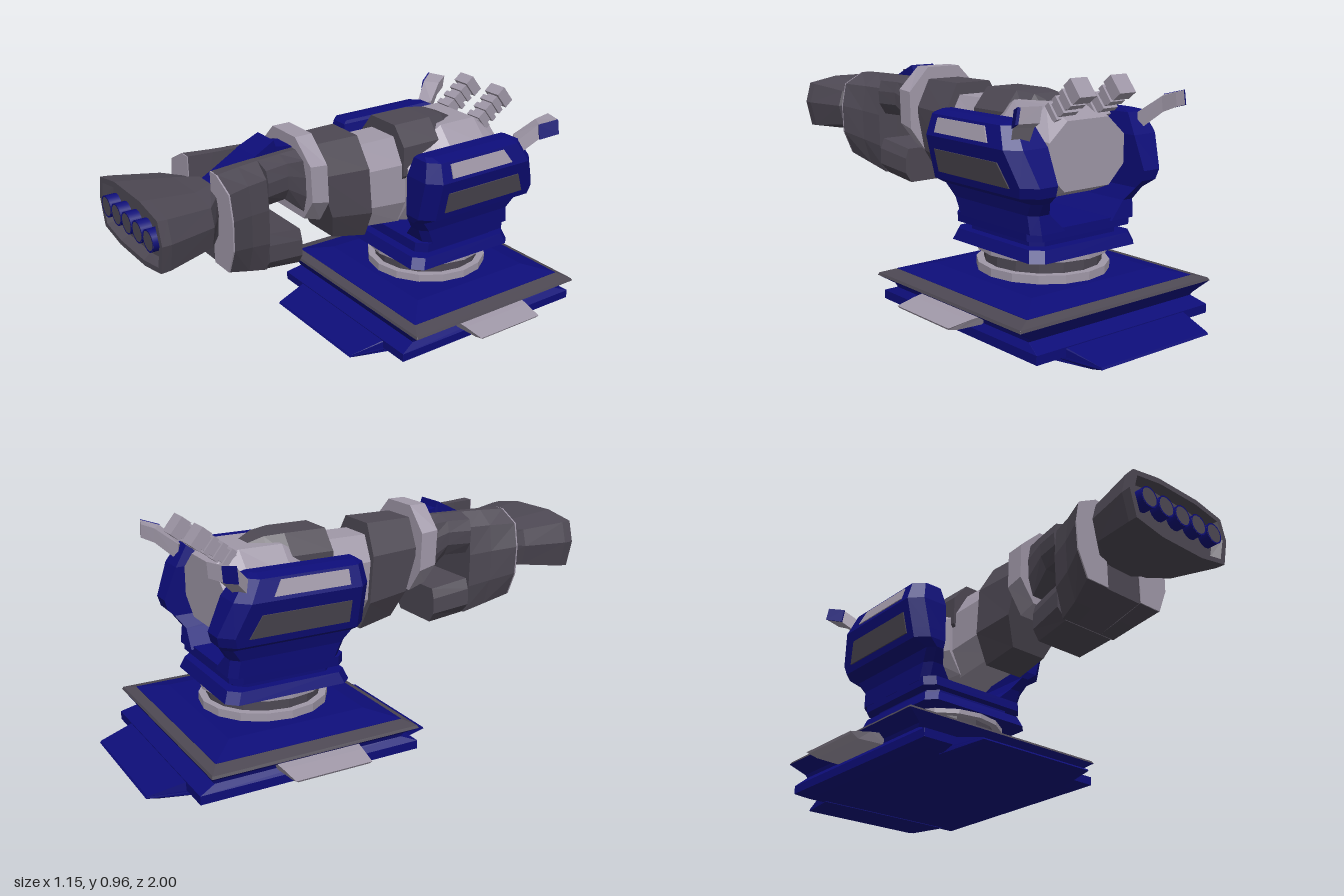
import * as THREE from 'three';

const mat = (name, color) => Object.assign(new THREE.MeshStandardMaterial({ color }), { name });

export function createModel() {
  const model = new THREE.Group();
  model.name = 'turret';
  const blue = mat('navy blue', 0x0d0d78);
  const dark = mat('dark grey', 0x4d4853);
  const light = mat('light grey', 0xa098a8);
  const CZ = -0.39; // centre of the base along z

  // Skin between matching loops of [x, y, z] points, closed with fan caps, flat faces
  function loft(name, material, loops, parent = model) {
    const tris = [];
    const n = loops[0].length;
    for (let i = 0; i < loops.length - 1; i++) {
      for (let j = 0; j < n; j++) {
        const k = (j + 1) % n, A = loops[i], B = loops[i + 1];
        tris.push([A[j], A[k], B[k]], [A[j], B[k], B[j]]);
      }
    }
    const first = loops[0], last = loops[loops.length - 1];
    for (let j = 1; j < n - 1; j++) {
      tris.push([first[0], first[j + 1], first[j]], [last[0], last[j], last[j + 1]]);
    }
    // turn the faces outward
    const v = (p) => new THREE.Vector3(...p);
    const volume = tris.reduce((s, [a, b, c]) => s + v(a).dot(v(b).cross(v(c))), 0);
    if (volume < 0) tris.forEach((t) => t.reverse());
    const geo = new THREE.BufferGeometry();
    geo.setAttribute('position', new THREE.Float32BufferAttribute(tris.flat(2), 3));
    geo.computeVertexNormals();
    const mesh = new THREE.Mesh(geo, material);
    mesh.name = name;
    parent.add(mesh);
    return mesh;
  }
  // The same part on both sides
  function pair(name, material, loops) {
    loft(name + 'Left', material, loops);
    loft(name + 'Right', material, loops.map((l) => l.map(([x, y, z]) => [-x, y, z])));
  }
  // Level rectangle with cut corners
  const rect = (y, hx, hz, c = 0.001) => [
    [hx - c, hz], [hx, hz - c], [hx, c - hz], [hx - c, -hz],
    [c - hx, -hz], [-hx, c - hz], [-hx, hz - c], [c - hx, hz],
  ].map(([x, z]) => [x, y, CZ + z]);
  // Upright octagon across the gun; zb lets the bottom lean
  const oct = (z, w, yt, yb, zb = z, top = 0.55, bottom = 0.6) => {
    const c = (yt - yb) * 0.28;
    return [
      [w * top, yt], [w, yt - c], [w, yb + c], [w * bottom, yb],
      [-w * bottom, yb], [-w, yb + c], [-w, yt - c], [-w * top, yt],
    ].map(([x, y]) => [x, y, zb + (z - zb) * (y - yb) / (yt - yb)]);
  };

  // Base
  loft('base', blue, [rect(0.003, 0.39, 0.42), rect(0.025, 0.44, 0.465), rect(0.06, 0.44, 0.465),
    rect(0.085, 0.42, 0.4), rect(0.1, 0.425, 0.41), rect(0.14, 0.49, 0.437)]);
  loft('baseRim', dark, [rect(0.14, 0.49, 0.437), rect(0.15, 0.485, 0.432), rect(0.164, 0.425, 0.395)]);
  loft('baseTop', blue, [rect(0.16, 0.425, 0.395), rect(0.165, 0.425, 0.395), rect(0.192, 0.31, 0.29)]);
  for (const s of [1, -1]) {
    const flap = (y, x0, z0, x1, z1) => [[x0, z0], [-x0, z0], [-x1, z1], [x1, z1]].map(([x, z]) => [x, y, CZ + s * z]);
    loft(s > 0 ? 'frontFlap' : 'backFlap', blue,
      [flap(0, 0.32, 0.4, 0.27, 0.56), flap(0.014, 0.32, 0.4, 0.275, 0.61),
        flap(0.022, 0.32, 0.4, 0.275, 0.605), flap(0.065, 0.32, 0.4, 0.31, 0.43)]);
  }
  pair('sideFin', light, [
    [[0.41, 0.08, -0.22], [0.41, 0.122, -0.2], [0.41, 0.122, -0.56], [0.41, 0.08, -0.54]],
    [[0.53, 0.08, -0.23], [0.49, 0.113, -0.21], [0.49, 0.113, -0.55], [0.53, 0.08, -0.53]],
    [[0.57, 0.09, -0.23], [0.575, 0.098, -0.22], [0.575, 0.098, -0.54], [0.57, 0.09, -0.53]],
  ]);

  // Turntable
  [[0.19, 0.225, 0.262, light, 'lowerRing'], [0.22, 0.28, 0.232, dark, 'bearing'],
    [0.275, 0.297, 0.262, light, 'upperRing']].forEach(([y0, y1, r, m, name]) => {
    const geo = new THREE.CylinderGeometry(r, r, y1 - y0, 16).toNonIndexed();
    geo.computeVertexNormals();
    const ring = new THREE.Mesh(geo, m);
    ring.name = name;
    ring.position.set(0, (y0 + y1) / 2, CZ);
    model.add(ring);
  });
  loft('pedestal', blue, [rect(0.295, 0.27, 0.268, 0.04), rect(0.34, 0.255, 0.25, 0.04),
    rect(0.341, 0.22, 0.21, 0.04), rect(0.37, 0.22, 0.21, 0.04), rect(0.371, 0.262, 0.245, 0.04),
    rect(0.41, 0.265, 0.243, 0.04)]);

  // Yoke arms: y, inner x, outer x, front z, back z, corner cut
  const arm = [
    [0.4, 0.12, 0.265, -0.18, -0.645, 0.03], [0.47, 0.19, 0.27, -0.15, -0.635, 0.03],
    [0.52, 0.22, 0.285, -0.11, -0.67, 0.03], [0.55, 0.22, 0.345, -0.1, -0.7, 0.05],
    [0.59, 0.22, 0.3544, -0.1, -0.71, 0.05], [0.72, 0.22, 0.385, -0.1, -0.655, 0.05],
    [0.8, 0.24, 0.36, -0.115, -0.6, 0.04], [0.812, 0.25, 0.31, -0.13, -0.57, 0.02],
  ];
  pair('yokeArm', blue, arm.map(([y, xi, xo, zf, zb, c]) => [
    [xi, y, zf], [xo - c, y, zf], [xo, y, zf - c], [xo, y, zb + c], [xo - c, y, zb], [xi, y, zb]]));
  // Inlaid side panels
  const panel = (pts, xAt) => [-0.003, 0.005].map((d) => pts.map(([z, y]) => [xAt(y) + d, y, z]));
  pair('lowerPanel', dark, panel([[-0.19, 0.58], [-0.19, 0.67], [-0.56, 0.67], [-0.605, 0.58]],
    (y) => 0.345 + (y - 0.55) * 0.2353));
  pair('upperPanel', light, panel([[-0.2, 0.735], [-0.2, 0.79], [-0.48, 0.79], [-0.515, 0.735]],
    (y) => 0.385 - (y - 0.72) * 0.3125));

  // Rear housing and breech
  loft('housing', light, [oct(-0.16, 0.15, 0.8, 0.46), oct(-0.28, 0.21, 0.81, 0.45),
    oct(-0.35, 0.215, 0.852, 0.46), oct(-0.53, 0.215, 0.852, 0.5), oct(-0.63, 0.19, 0.8, 0.54)]);
  loft('breech', dark, [oct(-0.14, 0.145, 0.882, 0.6), oct(-0.32, 0.145, 0.882, 0.6),
    oct(-0.4, 0.11, 0.875, 0.62), oct(-0.49, 0.06, 0.84, 0.65)]);
  loft('collar', light, [oct(0.07, 0.135, 0.832, 0.48), oct(-0.17, 0.135, 0.832, 0.45)]);
  loft('barrelSleeve', dark, [oct(0.3, 0.14, 0.88, 0.47, 0.17), oct(0.05, 0.155, 0.88, 0.44, 0.015)]);
  loft('clampRing', light, [oct(0.335, 0.18, 0.93, 0.6, 0.32, 0.45), oct(0.26, 0.18, 0.93, 0.575, 0.245, 0.45)]);

  // Forked barrel shells: z, width, slot half width, top y, bottom y
  const shell = (z, w, s, yt, yb) => {
    const h = yt - yb;
    return [[s, yt], [s + (w - s) * 0.3, yt], [w * 0.92, yt - h * 0.13], [w, yt - h * 0.4],
      [w * 0.98, yb + h * 0.28], [w * 0.8, yb], [s, yb]].map(([x, y]) => [x, y, z]);
  };
  pair('forkShell', dark, [shell(0.7, 0.245, 0.09, 0.88, 0.515), shell(0.6, 0.2, 0.075, 0.88, 0.475),
    shell(0.51, 0.172, 0.065, 0.88, 0.445)]);
  pair('forkFace', light, [shell(0.698, 0.245, 0.09, 0.88, 0.515), shell(0.704, 0.245, 0.09, 0.88, 0.515)]);
  pair('upperProng', dark, [shell(0.51, 0.172, 0.065, 0.88, 0.71), shell(0.41, 0.152, 0.055, 0.88, 0.71),
    shell(0.32, 0.14, 0.05, 0.88, 0.63)]);
  loft('lowerJaw', dark, [oct(0.512, 0.165, 0.6, 0.443, 0.512, 0.9, 0.75), oct(0.35, 0.14, 0.57, 0.42, 0.35, 0.9, 0.8)]);
  const block = (z, x, yt, yb) => [[x, yt, z], [x, yb, z], [-x, yb, z], [-x, yt, z]];
  loft('forkCore', dark, [block(0.695, 0.1, 0.74, 0.515), block(0.51, 0.08, 0.8, 0.445)]);
  loft('upperCore', dark, [block(0.52, 0.08, 0.8, 0.71), block(0.41, 0.08, 0.82, 0.71), block(0.3, 0.08, 0.82, 0.63)]);
  loft('topSpine', blue, [block(0.69, 0.09, 0.76, 0.7), block(0.5, 0.066, 0.885, 0.72),
    block(0.415, 0.058, 0.927, 0.74), block(0.405, 0.056, 0.9, 0.74), block(0.33, 0.05, 0.885, 0.74)]);

  // Muzzle with a recessed mouth
  const mouth = (z, w, yt, yb) => {
    const h = yt - yb;
    return [[w * 0.4, yt], [w * 0.91, yt - h * 0.1], [w, yt - h * 0.45], [w * 0.9, yb + h * 0.1], [w * 0.4, yb],
      [-w * 0.4, yb], [-w * 0.9, yb + h * 0.1], [-w, yt - h * 0.45], [-w * 0.91, yt - h * 0.1], [-w * 0.4, yt],
    ].map(([x, y]) => [x, y, z]);
  };
  loft('muzzle', dark, [mouth(0.68, 0.11, 0.81, 0.62), mouth(0.765, 0.225, 0.812, 0.618), mouth(0.95, 0.268, 0.836, 0.592),
    mouth(0.988, 0.27, 0.84, 0.59), mouth(0.988, 0.247, 0.818, 0.61), mouth(0.955, 0.225, 0.8, 0.628)]);
  for (let i = -2; i <= 2; i++) {
    const emitter = new THREE.Group();
    emitter.name = 'emitter' + (i + 3);
    emitter.position.set(i * 0.09, 0.72, 0.97);
    const tube = new THREE.Mesh(new THREE.CylinderGeometry(0.042, 0.042, 0.058, 14), [blue, dark, dark]);
    tube.name = 'emitterTube';
    tube.rotation.x = Math.PI / 2;
    const lip = new THREE.Mesh(new THREE.RingGeometry(0.037, 0.043, 14), blue);
    lip.name = 'emitterLip';
    lip.position.z = 0.03;
    emitter.add(tube, lip);
    model.add(emitter);
  }

  // Ribbed exhaust pipes
  for (const s of [1, -1]) {
    const pipe = new THREE.Group();
    pipe.name = s > 0 ? 'exhaustLeft' : 'exhaustRight';
    pipe.position.set(s * 0.1, 0.79, -0.53);
    pipe.rotation.x = -0.9;
    const box = (name, w, h, y) => {
      const m = new THREE.Mesh(new THREE.BoxGeometry(w, h, w), light);
      m.name = name;
      m.position.y = y;
      pipe.add(m);
    };
    box('pipeCore', 0.055, 0.22, 0.1);
    for (let i = 0; i < 3; i++) box('pipeRib', 0.075, 0.024, 0.06 + i * 0.045);
    box('pipeEnd', 0.082, 0.045, 0.2);
    model.add(pipe);
  }

  // Swept horns with blue outer tips
  pair('horn', light, [
    [[0.27, 0.8, -0.62], [0.325, 0.79, -0.585], [0.335, 0.73, -0.585], [0.28, 0.73, -0.62]],
    [[0.315, 0.865, -0.7], [0.375, 0.865, -0.66], [0.385, 0.805, -0.66], [0.325, 0.805, -0.7]],
    [[0.335, 0.885, -0.75], [0.415, 0.885, -0.725], [0.425, 0.828, -0.725], [0.345, 0.828, -0.75]],
  ]);
  pair('hornTip', blue, [
    [[0.37, 0.862, -0.66], [0.379, 0.866, -0.655], [0.39, 0.803, -0.655], [0.38, 0.805, -0.66]],
    [[0.41, 0.884, -0.727], [0.42, 0.886, -0.723], [0.431, 0.826, -0.723], [0.42, 0.828, -0.727]],
  ]);
  return model;
}
